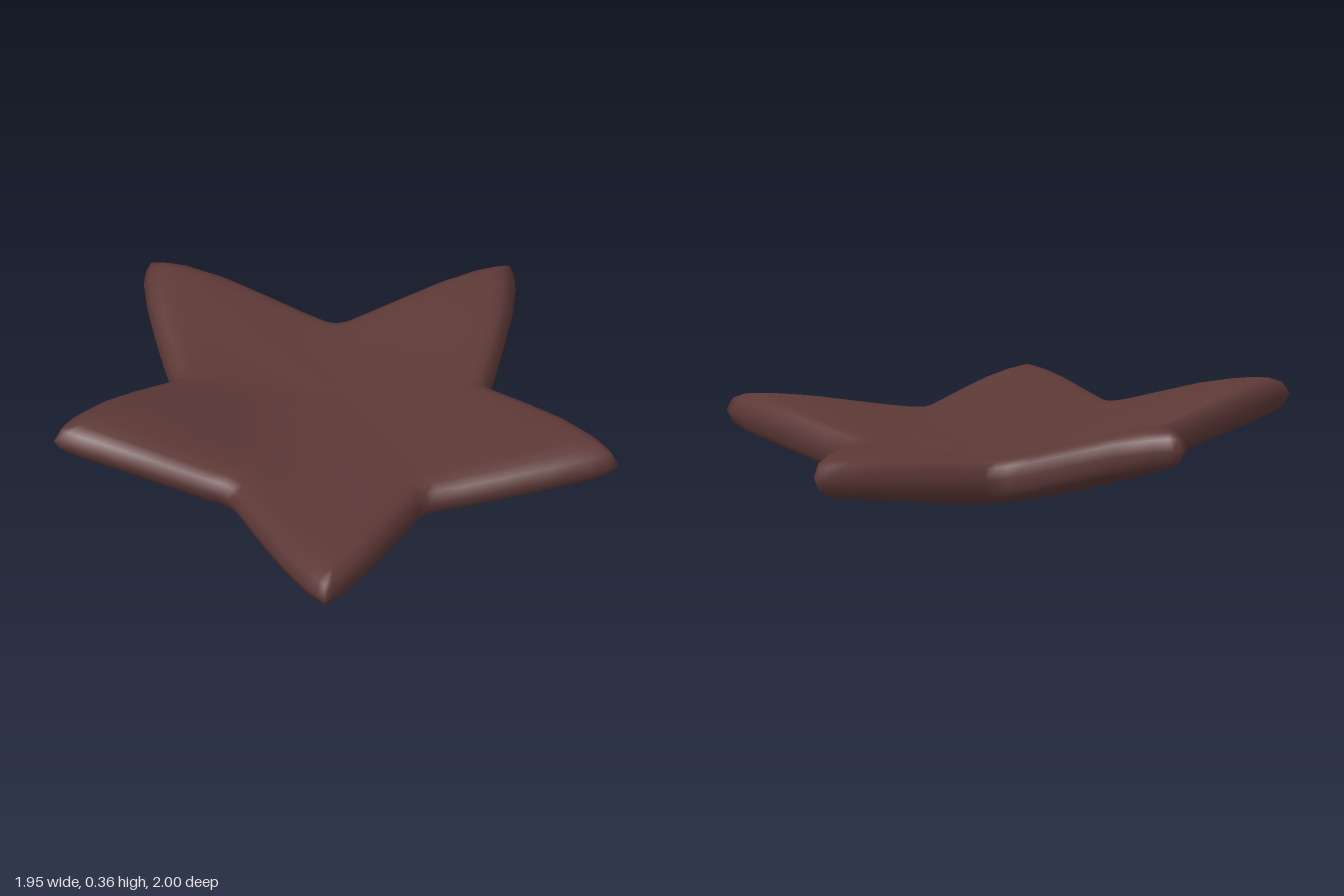
import * as THREE from 'three';

// Star corners clockwise from the back tip: tips are [x, z, mid height], valleys [x, z]
const corners = [
  [-0.01, -1.0, 0.18], [0.32, -0.40],
  [0.975, -0.225, 0.217], [0.53, 0.28],
  [0.60, 0.995, 0.2], [-0.03, 0.675],
  [-0.63, 0.86, 0.293], [-0.56, 0.27],
  [-0.975, -0.185, 0.27], [-0.34, -0.41],
];
const centre = { x: -0.09, z: -0.1, y: 0.083 };

// Points along each side as [fraction from tip to valley, outward bulge]
const steps = [[0, 0], [0.05, 0.009], [0.14, 0.02], [0.35, 0.024], [0.6, 0.014], [0.8, 0.003], [0.94, -0.006], [1, 0]];

// Section from the top centre over the rounded rim to the bottom: [radial scale, thickness fraction]
const half = [[0.12, 1], [0.25, 1], [0.38, 1], [0.5, 1], [0.62, 1], [0.75, 1], [0.86, 0.98], [0.93, 0.84], [0.975, 0.57]];
const section = [...half, [1, 0], ...half.map(([s, t]) => [s, -t]).reverse()];

// Direction, reach and rise of each arm
const arms = corners.filter((c) => c.length === 3).map(([x, z, y]) => ({
  angle: Math.atan2(z - centre.z, x - centre.x),
  reach: Math.hypot(x - centre.x, z - centre.z),
  rise: y - centre.y,
}));

const turn = (angle) => (angle + 4 * Math.PI) % (2 * Math.PI);

// Dished middle surface, blending smoothly from arm to arm
function midHeight(x, z) {
  const dx = x - centre.x, dz = z - centre.z;
  const angle = Math.atan2(dz, dx);
  for (let i = 0; i < arms.length; i++) {
    const a = arms[i], b = arms[(i + 1) % arms.length];
    const span = turn(b.angle - a.angle), offset = turn(angle - a.angle + 1e-9);
    if (offset > span) continue;
    const f = offset / span;
    const w = (1 - Math.cos(Math.PI * f)) / 2;
    const reach = a.reach + (b.reach - a.reach) * w;
    const rise = (a.rise + (b.rise - a.rise) * w) * (1 - 0.1 * Math.sin(Math.PI * f) ** 2);
    return centre.y + rise * THREE.MathUtils.smoothstep(Math.hypot(dx, dz) / reach, 0, 1);
  }
  return centre.y;
}

function sidePoint(tip, valley, f, bulge) {
  const dx = valley[0] - tip[0], dz = valley[1] - tip[1];
  const len = Math.hypot(dx, dz);
  let nx = -dz / len, nz = dx / len;
  // Make the bulge point away from the centre
  if (nx * (tip[0] - centre.x) + nz * (tip[1] - centre.z) < 0) { nx = -nx; nz = -nz; }
  return { x: tip[0] + dx * f + nx * bulge, z: tip[1] + dz * f + nz * bulge };
}

function makeOutline() {
  const outline = [];
  for (let i = 0; i < corners.length; i += 2) {
    const tip = corners[i], next = corners[i + 1], prev = corners[(i + 9) % 10];
    // Up the previous side to the tip, then down to the next valley
    for (let k = steps.length - 2; k > 0; k--) outline.push(sidePoint(tip, prev, ...steps[k]));
    for (const step of steps) outline.push(sidePoint(tip, next, ...step));
  }
  return outline;
}

function makeStarGeometry() {
  const outline = makeOutline(), n = outline.length;
  const positions = [], index = [];
  // Dished rings with a rounded rim
  for (const [s, t] of section) {
    const thick = (0.083 - 0.008 * s) * t;
    for (const p of outline) {
      const x = centre.x + (p.x - centre.x) * s, z = centre.z + (p.z - centre.z) * s;
      positions.push(x, midHeight(x, z) + thick, z);
    }
  }
  const top = positions.length / 3, bottom = top + 1;
  positions.push(centre.x, centre.y + 0.083, centre.z, centre.x, centre.y - 0.083, centre.z);

  const last = (section.length - 1) * n;
  for (let i = 0; i < n; i++) {
    const j = (i + 1) % n;
    index.push(top, j, i, bottom, last + i, last + j);
    for (let r = 0; r < section.length - 1; r++) {
      const a = r * n + i, b = r * n + j, c = a + n, d = b + n;
      index.push(a, d, c, a, b, d);
    }
  }
  const geometry = new THREE.BufferGeometry();
  geometry.setAttribute('position', new THREE.Float32BufferAttribute(positions, 3));
  geometry.setIndex(index);
  geometry.computeVertexNormals();
  return geometry;
}

export function createModel() {
  const group = new THREE.Group();
  group.name = 'star';
  const brown = new THREE.MeshStandardMaterial({ color: 0x5d3937 });
  brown.name = 'dark reddish brown';
  const body = new THREE.Mesh(makeStarGeometry(), brown);
  body.name = 'starBody';
  group.add(body);
  return group;
}
